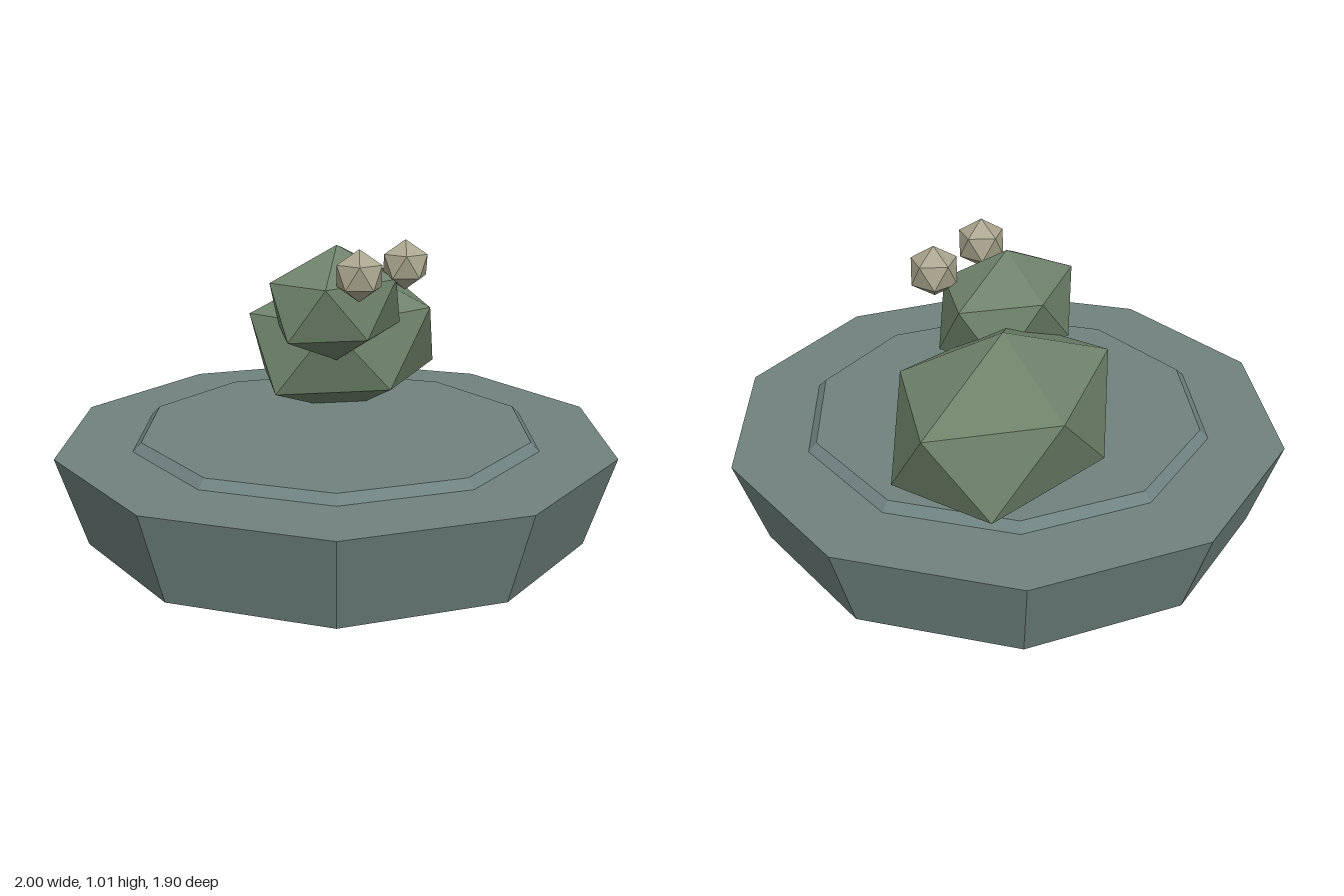
import * as THREE from 'three';

const paint = (name, color) => {
  const m = new THREE.MeshStandardMaterial({ color, flatShading: true });
  m.name = name;
  return m;
};

export function createModel() {
  const model = new THREE.Group();
  const stone = paint('slateGreen', 0x6f827f);
  const moss = paint('mossGreen', 0x6e826a);
  const bone = paint('paleBeige', 0xaaa68f);

  // Ten-sided slabs with a corner on the x axis
  const slab = (name, topR, bottomR, y0, y1) => {
    const geo = new THREE.CylinderGeometry(topR, bottomR, y1 - y0, 10);
    geo.rotateY(Math.PI / 2);
    const mesh = new THREE.Mesh(geo, stone);
    mesh.name = name;
    mesh.position.y = (y0 + y1) / 2;
    model.add(mesh);
  };
  slab('base', 1, 0.9, 0, 0.32);
  slab('raisedPlate', 0.705, 0.735, 0.32, 0.35);

  // Stretched icosahedra, standing on a corner
  const tilt = Math.atan(2 / (1 + Math.sqrt(5)));
  const blob = (name, material, position, radii) => {
    const geo = new THREE.IcosahedronGeometry(1, 0);
    geo.rotateZ(-tilt).scale(...radii);
    geo.computeVertexNormals();
    const mesh = new THREE.Mesh(geo, material);
    mesh.name = name;
    mesh.position.set(...position);
    model.add(mesh);
  };
  blob('body', moss, [0.37, 0.57, -0.223], [0.492, 0.3, 0.358]);
  blob('head', moss, [0.057, 0.78, -0.038], [0.319, 0.21, 0.23]);
  for (const side of [-1, 1]) {
    blob(side > 0 ? 'leftEye' : 'rightEye', bone,
      [0.055 + side * 0.143, 0.92, 0.16], [0.09, 0.09, 0.09]);
  }
  return model;
}
